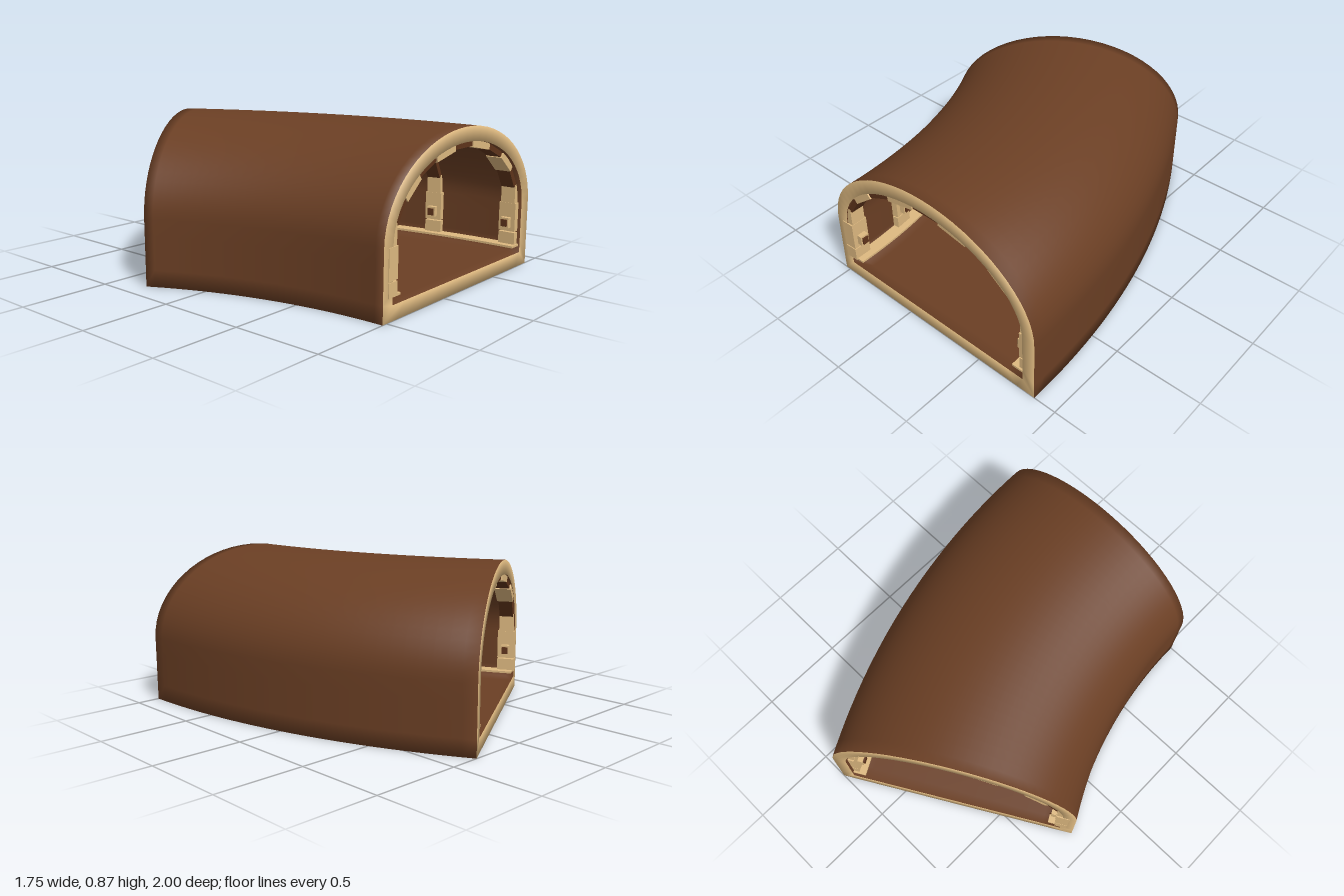
import * as THREE from 'three';

const R = 3.3, CX = -3.13, TURN = Math.PI / 6;   // bend radius, bend centre, total bend
const rad = THREE.MathUtils.degToRad;

const mat = (name, color, side = THREE.FrontSide) => {
  const m = new THREE.MeshStandardMaterial({ color, side });
  m.name = name;
  return m;
};

// Closed arch profile: right wall, elliptical vault, left wall, floor
function archProfile(half, base, spring, rise) {
  const pts = [], wall = 4, arc = 32, floor = 12;
  for (let i = 0; i < wall; i++) pts.push([half, base + (spring - base) * i / wall]);
  for (let i = 0; i <= arc; i++) {
    const a = Math.PI * i / arc;
    pts.push([half * Math.cos(a), spring + rise * Math.sin(a)]);
  }
  for (let i = 1; i <= wall; i++) pts.push([-half, spring + (base - spring) * i / wall]);
  for (let i = 1; i < floor; i++) pts.push([-half + 2 * half * i / floor, base]);
  return pts;
}

// Hollow bent shell: brown inside and out (group 0), tan end rims (group 1)
function shellGeometry() {
  const outer = archProfile(0.7, 0, 0.37, 0.5);
  const inner = archProfile(0.625, 0.08, 0.37, 0.42);
  const n = outer.length, steps = 28, pos = [], skin = [], rim = [];
  for (let s = 0; s <= steps; s++) {
    const t = TURN * s / steps;
    for (const [u, y] of [...outer, ...inner])
      pos.push(CX + (R + u) * Math.cos(t), y, 1 - (R + u) * Math.sin(t));
  }
  const id = (s, layer, i) => s * 2 * n + layer * n + i % n;
  const quad = (list, a, b, c, d) => list.push(a, b, c, a, c, d);
  for (let i = 0; i < n; i++) {
    for (let s = 0; s < steps; s++) {
      quad(skin, id(s, 0, i), id(s + 1, 0, i), id(s + 1, 0, i + 1), id(s, 0, i + 1));
      quad(skin, id(s, 1, i), id(s, 1, i + 1), id(s + 1, 1, i + 1), id(s + 1, 1, i));
    }
    quad(rim, id(0, 0, i), id(0, 0, i + 1), id(0, 1, i + 1), id(0, 1, i));
    quad(rim, id(steps, 0, i), id(steps, 1, i), id(steps, 1, i + 1), id(steps, 0, i + 1));
  }
  const g = new THREE.BufferGeometry();
  g.setAttribute('position', new THREE.Float32BufferAttribute(pos, 3));
  g.setIndex([...skin, ...rim]);
  g.addGroup(0, skin.length, 0);
  g.addGroup(skin.length, rim.length, 1);
  g.computeVertexNormals();
  return g;
}

export function createModel() {
  const brown = mat('barkBrown', 0x6b3f24);
  const tan = mat('lightWood', 0xdeb980);
  const darkBrown = mat('darkWood', 0x5f341b);
  const model = new THREE.Group();
  model.name = 'curvedTunnel';

  const add = (parent, name, geo, material) => {
    const m = new THREE.Mesh(geo, material);
    m.name = name;
    parent.add(m);
    return m;
  };
  const box = (parent, name, w, h, d, x, y, material) => {
    const m = add(parent, name, new THREE.BoxGeometry(w, h, d), material);
    m.position.set(x, y, 0);
    return m;
  };

  add(model, 'tunnelShell', shellGeometry(), [brown, tan]);

  // Thin rails running along both walls
  for (const side of [-1, 1]) {
    const a = R + side * 0.55, b = R + side * 0.635;
    const shape = new THREE.Shape();
    shape.absarc(0, 0, Math.max(a, b), 0.002, TURN - 0.002, false);
    shape.absarc(0, 0, Math.min(a, b), TURN - 0.002, 0.002, true);
    const geo = new THREE.ExtrudeGeometry(shape, { depth: 0.012, bevelEnabled: false, curveSegments: 28 });
    geo.rotateX(-Math.PI / 2);
    geo.translate(CX, 0.115, 1);
    add(model, 'wallRail', geo, tan);
  }

  // Five ribs, each with two posts and an arch of alternating planks
  for (const deg of [1, 8, 15, 22, 29]) {
    const t = rad(deg), rib = new THREE.Group();
    rib.name = 'rib';
    rib.position.set(CX + R * Math.cos(t), 0, 1 - R * Math.sin(t));
    rib.rotation.y = t;
    model.add(rib);

    for (const s of [-1, 1]) {
      box(rib, 'postFoot', 0.07, 0.075, 0.1, s * 0.625, 0.1575, tan);
      box(rib, 'postMiddle', 0.074, 0.165, 0.1, s * 0.625, 0.285, tan);
      box(rib, 'postTop', 0.06, 0.11, 0.085, s * 0.62, 0.42, tan);
      box(rib, 'knob', 0.035, 0.06, 0.05, s * 0.575, 0.255, tan);
      box(rib, 'knobTip', 0.012, 0.04, 0.035, s * 0.554, 0.255, darkBrown);
    }

    const planks = 9, from = rad(14), step = (Math.PI - 2 * from) / planks;
    const at = a => new THREE.Vector2(0.612 * Math.cos(a), 0.37 + 0.407 * Math.sin(a));
    for (let i = 0; i < planks; i++) {
      const p = at(from + i * step), q = at(from + (i + 1) * step);
      const isDark = i % 2 === 0;
      const plank = box(rib, 'archPlank', p.distanceTo(q), isDark ? 0.03 : 0.04, isDark ? 0.08 : 0.095,
        (p.x + q.x) / 2, (p.y + q.y) / 2, isDark ? darkBrown : tan);
      plank.rotation.z = Math.atan2(q.y - p.y, q.x - p.x);
    }
  }
  return model;
}
